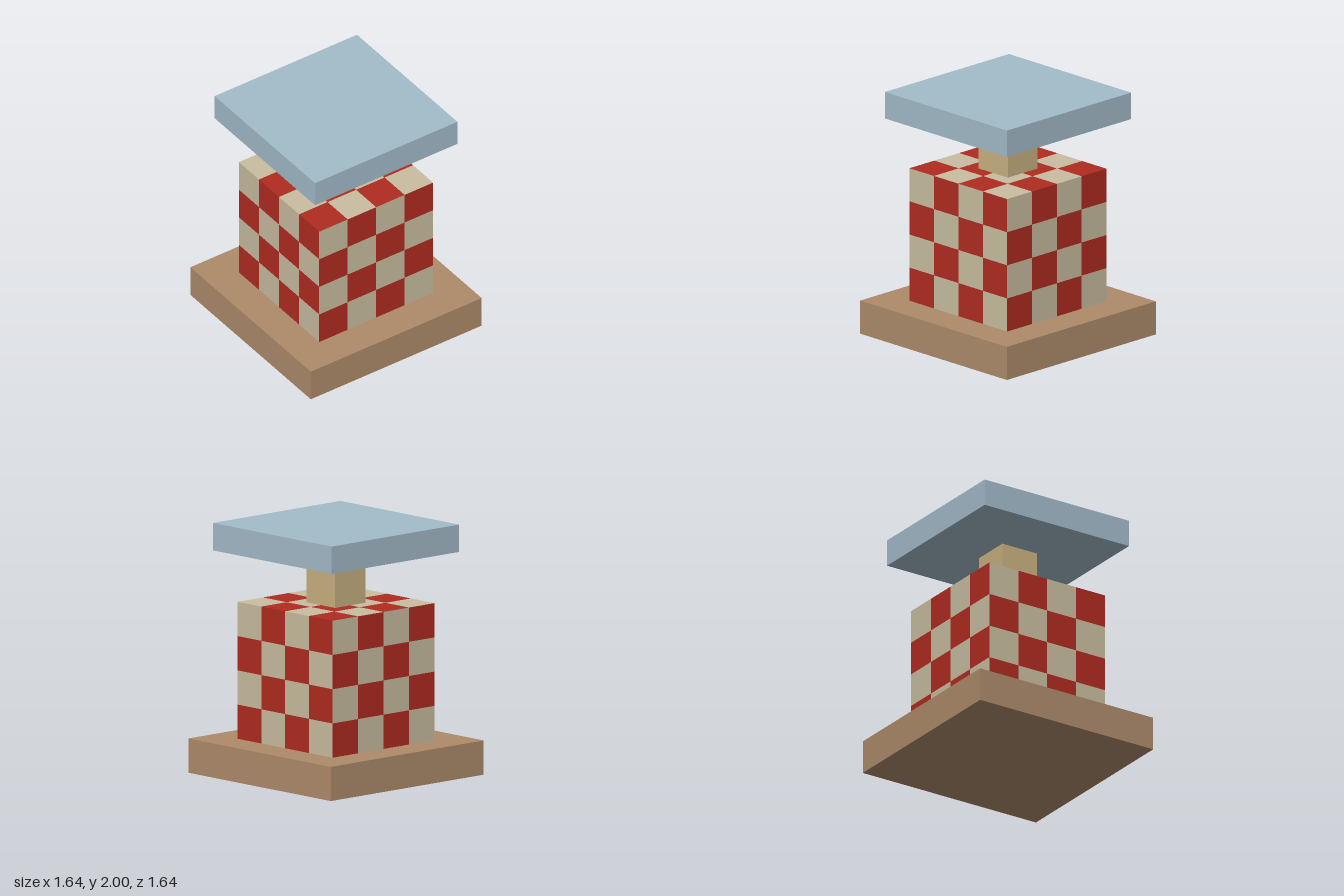
import * as THREE from 'three';

const U = 2 / 7.3; // one checker square

function material(name, color) {
  const m = new THREE.MeshStandardMaterial({ color });
  m.name = name;
  return m;
}

// Splits a segmented box into two material groups, alternating per square.
function checkerBox(size, n) {
  const geo = new THREE.BoxGeometry(size, size, size, n, n, n);
  const index = Array.from(geo.index.array);
  const sets = [[], []];
  for (let cell = 0; cell < 6 * n * n; cell++) {
    const col = cell % n;
    const row = n - 1 - (Math.floor(cell / n) % n); // counted from the bottom
    sets[(col + row) % 2].push(...index.slice(cell * 6, cell * 6 + 6));
  }
  geo.setIndex([...sets[0], ...sets[1]]);
  geo.clearGroups();
  geo.addGroup(0, sets[0].length, 0);
  geo.addGroup(sets[0].length, sets[1].length, 1);
  return geo;
}

export function createModel() {
  const group = new THREE.Group();
  group.name = 'checkeredPedestal';

  const brown = material('brown', 0xae8b6b);
  const red = material('red', 0xb02b20);
  const cream = material('cream', 0xc9bda0);
  const tan = material('tan', 0xc9b180);
  const blue = material('paleBlue', 0xa3bbc9);

  // Stack the parts from the ground up
  let y = 0;
  const stack = (name, geometry, height, mat) => {
    const mesh = new THREE.Mesh(geometry, mat);
    mesh.name = name;
    mesh.position.y = y + height / 2;
    y += height;
    group.add(mesh);
  };
  const slab = (name, width, height, mat) =>
    stack(name, new THREE.BoxGeometry(width * U, height * U, width * U), height * U, mat);

  slab('base', 6, 1, brown);
  stack('checkeredBlock', checkerBox(4 * U, 4), 4 * U, [red, cream]);
  slab('post', 1.2, 1.5, tan);
  slab('topSlab', 5, 0.8, blue);

  return group;
}
